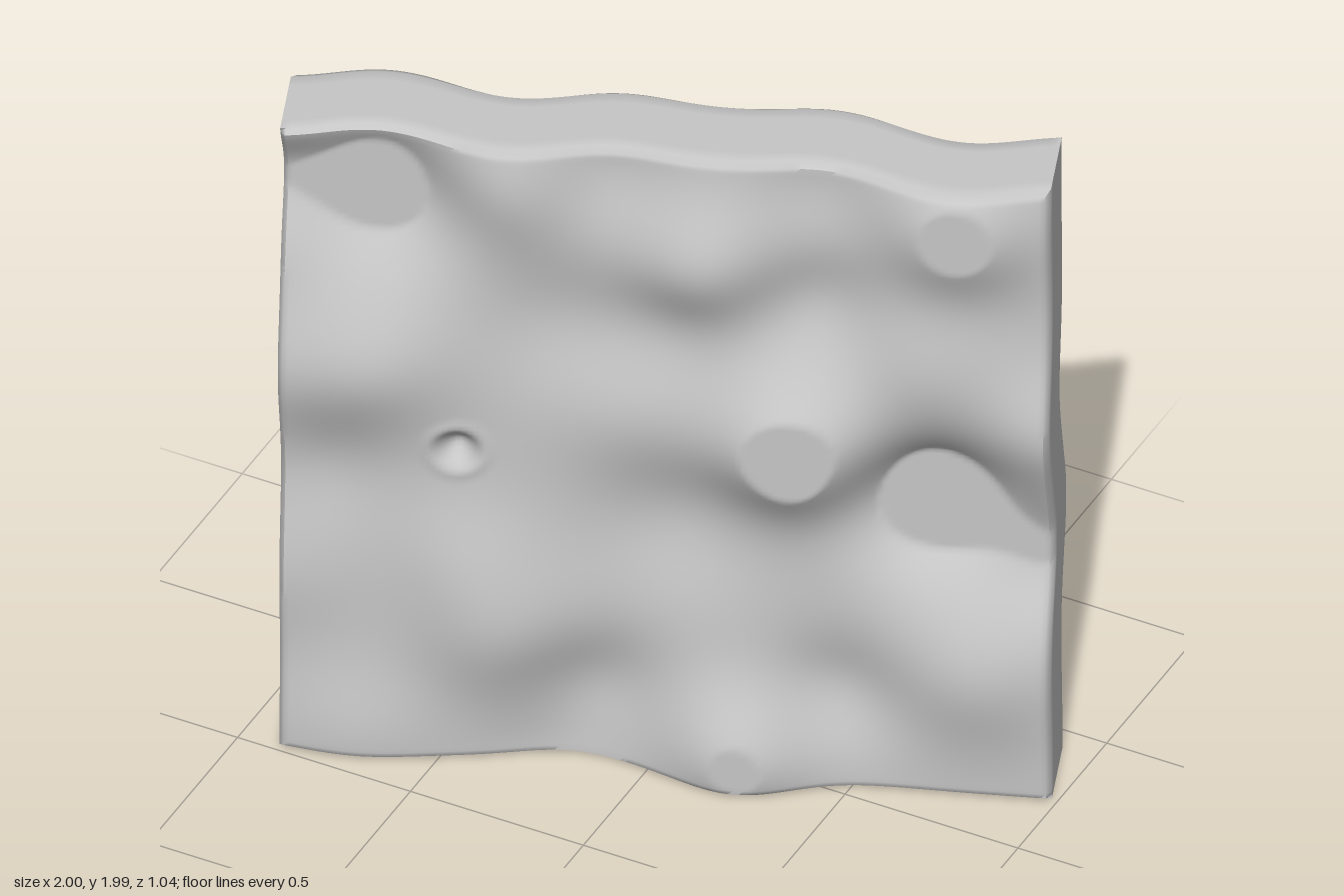
import * as THREE from 'three';
import { mergeVertices, toCreasedNormals } from 'three/addons/utils/BufferGeometryUtils.js';

const LENGTH = 2.0, HEIGHT = 1.985, HALF = 0.13;
const ROUND = 0.02, LOWEST = -0.063, HIGHEST = 0.098;

// Swells and hollows of the slab: along, up, height, radius
const SWELLS = [
  [-0.75, 1.78, -0.13, 0.20], [-1.02, 1.80, -0.05, 0.14],
  [-1.00, 2.03, 0.03, 0.14], [0.76, 1.85, 0.11, 0.20],
  [0.33, 1.09, 0.135, 0.20], [0.69, 0.91, -0.165, 0.19],
  [0.98, 0.75, -0.075, 0.17], [0.10, 1.66, 0.075, 0.19],
  [0.38, 1.54, -0.055, 0.18], [0.00, 1.42, -0.03, 0.18],
  [0.70, 1.38, 0.05, 0.22], [1.00, 1.20, 0.06, 0.18],
  [-0.44, 0.43, 0.065, 0.22], [-0.18, 0.25, -0.06, 0.19],
  [-0.52, 0.66, 0.03, 0.18], [-0.27, 0.00, -0.04, 0.18],
  [0.19, 0.09, 0.10, 0.20], [0.45, 0.30, -0.05, 0.17],
  [0.80, 0.40, 0.06, 0.22], [-0.76, 1.26, 0.07, 0.21],
  [-1.04, 1.22, 0.04, 0.20], [-0.88, 0.90, -0.025, 0.17],
  [-1.02, 0.55, 0.025, 0.20], [-0.80, 0.05, 0.045, 0.22],
  [-0.41, 1.86, 0.05, 0.19], [-0.15, 1.92, -0.035, 0.18],
  [-0.27, 1.42, -0.035, 0.20], [0.04, 0.80, -0.055, 0.22],
  [-0.10, 1.14, 0.025, 0.20], [0.40, 1.92, -0.03, 0.16],
];

function swell(u, y) {
  let d = 0.012;
  for (const [cu, cy, a, r] of SWELLS) {
    d += a * Math.exp(-((u - cu) ** 2 + (y - cy) ** 2) / (r * r));
  }
  return THREE.MathUtils.clamp(d, LOWEST, HIGHEST);
}

// Small dent with a slightly raised rim
function dent(u, y) {
  const r = Math.hypot(u + 0.54, y - 1.0);
  return -0.05 * Math.exp(-((r / 0.045) ** 2)) + 0.008 * Math.exp(-(((r - 0.07) / 0.02) ** 2));
}

function slabGeometry() {
  let g = new THREE.BoxGeometry(LENGTH, HEIGHT, HALF * 2, 150, 150, 6);
  g.deleteAttribute('uv');
  g.deleteAttribute('normal');
  const p = g.attributes.position;
  for (let i = 0; i < p.count; i++) {
    const u = p.getX(i), y = p.getY(i) + HEIGHT / 2;
    let w = p.getZ(i);
    const front = w > HALF - 1e-4;
    // round the rims of both broad faces
    const edge = Math.min(LENGTH / 2 - Math.abs(u), y, HEIGHT - y);
    const t = THREE.MathUtils.clamp(1 - edge / ROUND, 0, 1);
    w *= 1 - (ROUND / HALF) * (1 - Math.sqrt(1 - t * t));
    w += swell(u, y);
    if (front) w += dent(u, y);
    p.setXYZ(i, u, y, w);
  }
  g = mergeVertices(g, 1e-5);
  return toCreasedNormals(g, 0.9);
}

export function createModel() {
  const stone = new THREE.MeshStandardMaterial({ color: 0xc6c6c6 });
  stone.name = 'stoneGrey';
  const slab = new THREE.Mesh(slabGeometry(), stone);
  slab.name = 'wavySlab';
  slab.rotation.y = THREE.MathUtils.degToRad(20);
  const model = new THREE.Group();
  model.name = 'wallPanel';
  model.add(slab);
  return model;
}
